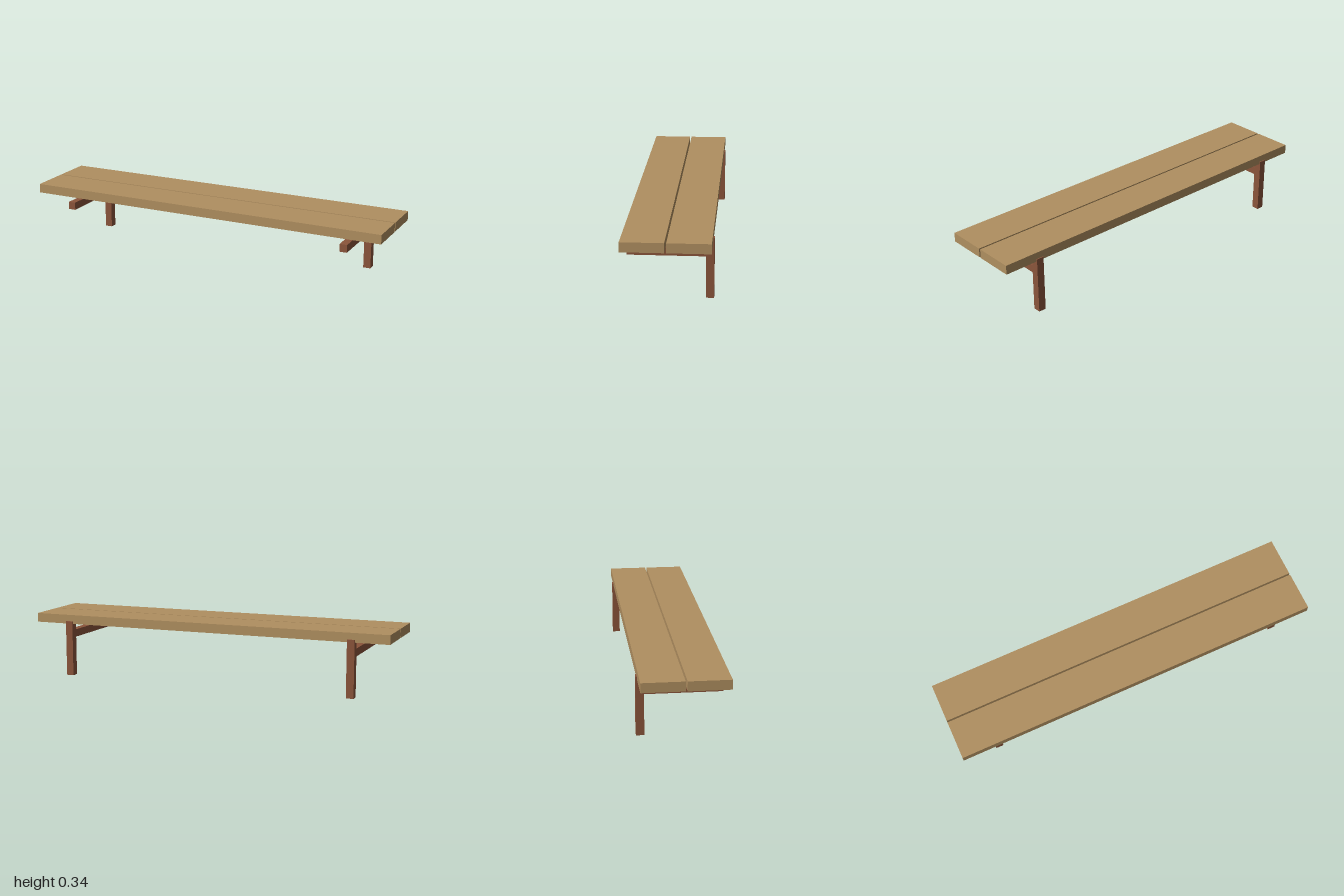
import * as THREE from 'three';

export function createModel() {
  const bench = new THREE.Group();
  bench.name = 'bench';

  const plankWood = new THREE.MeshStandardMaterial({ color: 0xb08f60 });
  plankWood.name = 'plank wood';
  const frameBrown = new THREE.MeshStandardMaterial({ color: 0x8b553b });
  frameBrown.name = 'frame brown';

  // Box given by its lower and upper limits on each axis
  function addBox(name, material, [x0, x1], [y0, y1], [z0, z1]) {
    const mesh = new THREE.Mesh(new THREE.BoxGeometry(x1 - x0, y1 - y0, z1 - z0), material);
    mesh.position.set((x0 + x1) / 2, (y0 + y1) / 2, (z0 + z1) / 2);
    mesh.name = name;
    bench.add(mesh);
  }

  // Two seat planks with a narrow gap between them
  addBox('frontPlank', plankWood, [-1, 1], [0.287, 0.336], [0.008, 0.218]);
  addBox('backPlank', plankWood, [-1, 1], [0.287, 0.336], [-0.211, -0.001]);

  // Rear post and forward arm on each side
  for (const [side, x] of [['left', 0.8], ['right', -0.8]]) {
    const width = [x - 0.02, x + 0.02];
    addBox(side + 'Post', frameBrown, width, [0, 0.301], [-0.217, -0.177]);
    addBox(side + 'Arm', frameBrown, width, [0.211, 0.252], [-0.177, 0.204]);
  }

  return bench;
}
